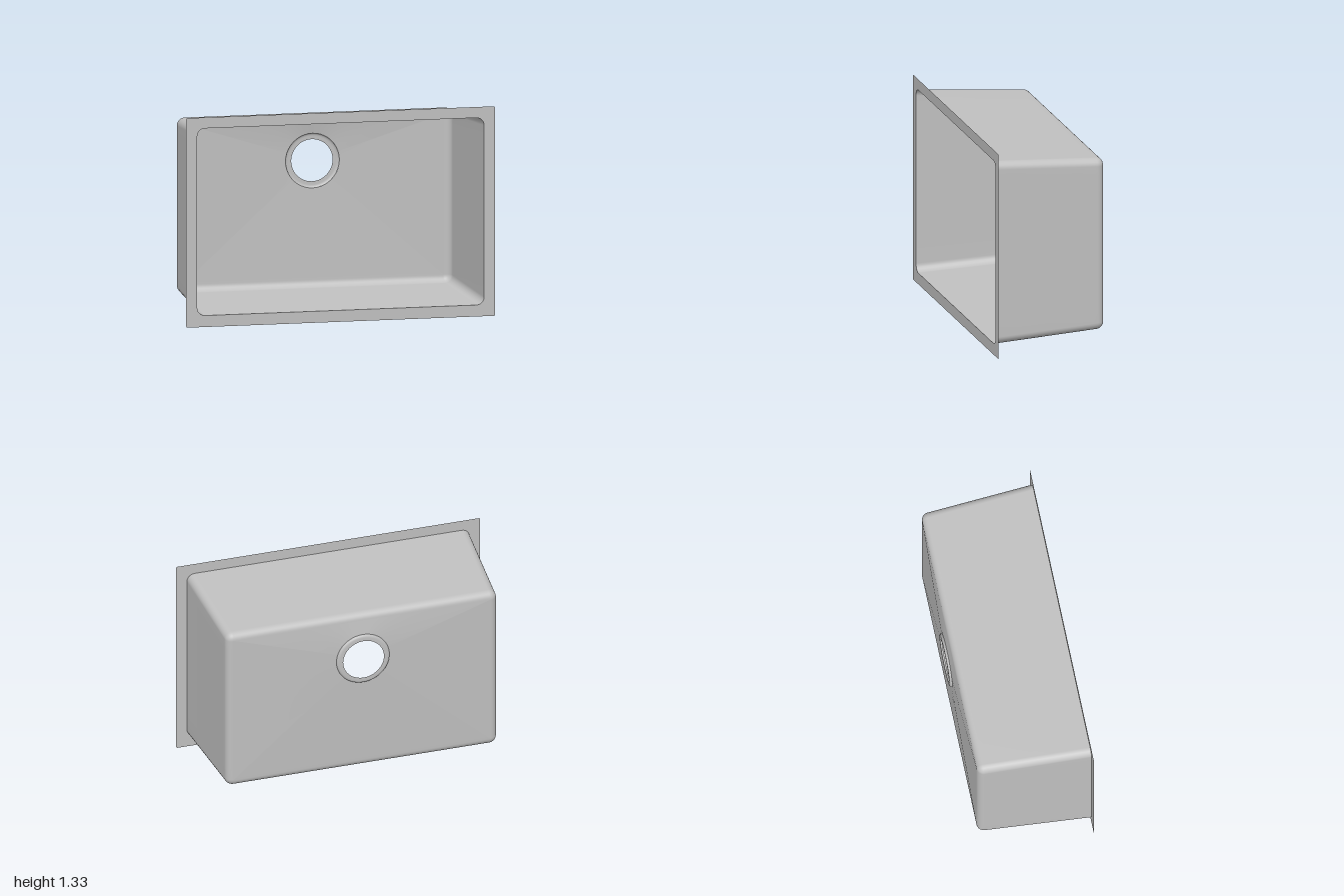
import * as THREE from 'three';

const DRAIN_Y = 0.912, DRAIN_R = 0.174, DRAIN_Z = -0.362;
const FRONT_Z = 0.376, FILLET_Z = -0.3, FILLET = 0.046;

// Rounded rectangle, counter-clockwise; edge points are spaced evenly as seen from the drain
function rectLoop(hx, y0, y1, r, z, arcSegs = 6, edgeSegs = 16) {
  const pts = [];
  const corners = [[hx - r, y1 - r], [r - hx, y1 - r], [r - hx, y0 + r], [hx - r, y0 + r]];
  const arcPoint = (k, a) => new THREE.Vector3(
    corners[k][0] + r * Math.cos(a), corners[k][1] + r * Math.sin(a), z);
  for (let k = 0; k < 4; k++) {
    for (let s = 0; s <= arcSegs; s++) pts.push(arcPoint(k, (k + s / arcSegs) * Math.PI / 2));
    const from = pts[pts.length - 1];
    const to = arcPoint((k + 1) % 4, (k + 1) * Math.PI / 2);
    const a0 = Math.atan2(from.y - DRAIN_Y, from.x);
    let a1 = Math.atan2(to.y - DRAIN_Y, to.x);
    if (a1 < a0) a1 += Math.PI * 2;
    for (let s = 1; s < edgeSegs; s++) {
      const a = a0 + (a1 - a0) * s / edgeSegs;
      if (k % 2 === 0) pts.push(new THREE.Vector3((from.y - DRAIN_Y) / Math.tan(a), from.y, z));
      else pts.push(new THREE.Vector3(from.x, DRAIN_Y + from.x * Math.tan(a), z));
    }
  }
  return pts;
}

// Skin a list of closed loops that have equal point counts
function loft(loops) {
  const n = loops[0].length, index = [];
  for (let i = 0; i < loops.length - 1; i++) {
    for (let j = 0; j < n; j++) {
      const a = i * n + j, b = i * n + (j + 1) % n;
      index.push(a, a + n, b, b, a + n, b + n);
    }
  }
  const geo = new THREE.BufferGeometry().setFromPoints(loops.flat());
  geo.setIndex(index);
  geo.computeVertexNormals();
  return geo;
}

function roundedPath(path, hx, y0, y1, r) {
  rectLoop(hx, y0, y1, r, 0).forEach((p, i) => (i ? path.lineTo(p.x, p.y) : path.moveTo(p.x, p.y)));
  path.closePath();
  return path;
}

export function createModel() {
  const group = new THREE.Group();
  const steel = new THREE.MeshStandardMaterial({ color: 0xc0c0c0, side: THREE.DoubleSide });
  steel.name = 'brushed steel';
  const add = (name, geo) => {
    const mesh = new THREE.Mesh(geo, steel);
    mesh.name = name;
    group.add(mesh);
    return mesh;
  };

  // Flat mounting flange around the opening
  const plate = roundedPath(new THREE.Shape(), 1, 0, 1.333, 0.01);
  plate.holes.push(roundedPath(new THREE.Path(), 0.929, 0.073, 1.264, 0.05));
  add('flange', new THREE.ShapeGeometry(plate)).position.z = FRONT_Z;

  // Tapered walls
  const loops = [];
  for (const t of [0, 0.03, 0.5, 0.97]) {
    loops.push(rectLoop(0.929 - 0.037 * t, 0.073 + 0.037 * t, 1.264 - 0.037 * t, 0.05,
      THREE.MathUtils.lerp(FRONT_Z, FILLET_Z, t)));
  }
  // Rounded edge between walls and bottom
  for (let s = 0; s <= 8; s++) {
    const a = s / 8 * Math.PI / 2, inset = 0.037 + FILLET * (1 - Math.cos(a));
    loops.push(rectLoop(0.929 - inset, 0.073 + inset, 1.264 - inset,
      0.004 + 0.046 * Math.cos(a), FILLET_Z - FILLET * Math.sin(a)));
  }
  // Bottom sloping to the drain circle
  const rim = loops[loops.length - 1];
  const circle = rim.map((p) => {
    const a = Math.atan2(p.y - DRAIN_Y, p.x);
    return new THREE.Vector3(DRAIN_R * Math.cos(a), DRAIN_Y + DRAIN_R * Math.sin(a), DRAIN_Z);
  });
  for (const t of [0.03, 0.35, 0.7, 1]) loops.push(rim.map((p, i) => p.clone().lerp(circle[i], t)));
  add('basin', loft(loops));

  // Recessed drain seat with an open hole
  const profile = [[0.174, 0.362], [0.173, 0.368], [0.169, 0.373], [0.163, 0.3755],
    [0.155, 0.377], [0.134, 0.377]].map(([r, d]) => new THREE.Vector2(r, d));
  const drain = new THREE.LatheGeometry(profile, 64);
  drain.rotateX(-Math.PI / 2);
  add('drainSeat', drain).position.y = DRAIN_Y;

  return group;
}
